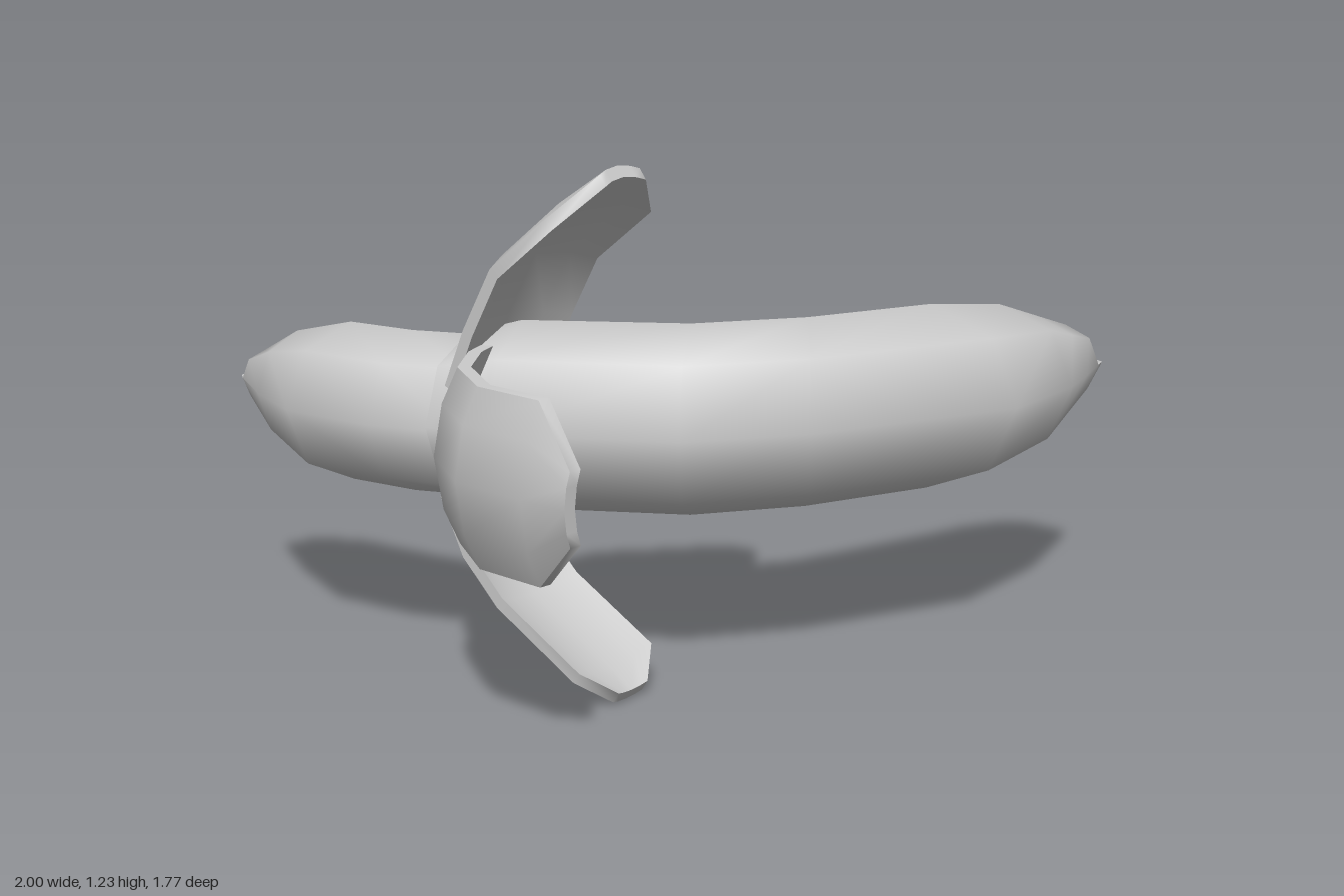
import * as THREE from 'three';
import { toCreasedNormals } from 'three/addons/utils/BufferGeometryUtils.js';

const material = new THREE.MeshStandardMaterial({ color: 0xcccccc, side: THREE.DoubleSide });

// Closed skin through equal-length rings of points, capped at both ends
function loft(name, rings) {
  const n = rings[0].length, pos = [];
  const tri = (a, b, c) => pos.push(...a, ...b, ...c);
  for (let i = 0; i < rings.length - 1; i++) {
    for (let j = 0; j < n; j++) {
      const k = (j + 1) % n, r = rings[i], s = rings[i + 1];
      tri(r[j], s[j], s[k]);
      tri(r[j], s[k], r[k]);
    }
  }
  // Caps are zipped across, which suits both ovals and thin strips
  const cap = (r, flip) => {
    for (let j = 0; j < n / 2 - 1; j++) {
      const q = [r[j], r[j + 1], r[n - 2 - j], r[n - 1 - j]];
      if (flip) q.reverse();
      tri(q[0], q[1], q[2]);
      tri(q[0], q[2], q[3]);
    }
  };
  cap(rings[0], false);
  cap(rings[rings.length - 1], true);

  // Turn the faces outward if the enclosed volume comes out negative
  let volume = 0;
  const a = new THREE.Vector3(), b = new THREE.Vector3(), c = new THREE.Vector3();
  for (let i = 0; i < pos.length; i += 9) {
    volume += a.fromArray(pos, i).dot(b.fromArray(pos, i + 3).cross(c.fromArray(pos, i + 6)));
  }
  if (volume < 0) {
    for (let i = 0; i < pos.length; i += 9) {
      for (let k = 0; k < 3; k++) [pos[i + 3 + k], pos[i + 6 + k]] = [pos[i + 6 + k], pos[i + 3 + k]];
    }
  }
  const geometry = new THREE.BufferGeometry();
  geometry.setAttribute('position', new THREE.Float32BufferAttribute(pos, 3));
  const mesh = new THREE.Mesh(toCreasedNormals(geometry, 1.0), material);
  mesh.name = name;
  return mesh;
}

// Eight-sided body; each section is [outer x, outer z, inner x, inner z, half height]
function body(name, y, sections) {
  return loft(name, sections.map(([ox, oz, ix, iz, h]) =>
    Array.from({ length: 8 }, (_, j) => {
      const t = (j / 8) * Math.PI * 2, c = Math.cos(t) / 2;
      return [(ox + ix) / 2 + (ox - ix) * c, y + h * Math.sin(t), (oz + iz) / 2 + (oz - iz) * c];
    })));
}

// Curved strip along a planar path; place(u, v, w) maps path and width to space
function peel(name, path, { half, sag, thickness = 0.03, side, place }) {
  const columns = [-1, -0.6, 0, 0.6, 1];
  const last = path.length - 1;
  return loft(name, path.map(([u, v], i) => {
    const p = path[Math.max(i - 1, 0)], q = path[Math.min(i + 1, last)];
    const du = q[0] - p[0], dv = q[1] - p[1], len = Math.hypot(du, dv);
    const nu = (side * dv) / len, nv = (-side * du) / len;
    const width = half * (i === last ? 0.4 : 1);
    const bend = i === last ? sag * 0.3 : sag;
    const at = (t, depth) => {
      const d = bend * t * t + depth;
      return place(u + nu * d, v + nv * d, width * t);
    };
    return [...columns.map(t => at(t, 0)), ...columns.map(t => at(-t, thickness))];
  }));
}

export function createModel() {
  const group = new THREE.Group();
  group.name = 'peeledBanana';

  // Exposed fruit, ending in a blunt ridge
  group.add(body('fruit', 0.615, [
    [-0.64, -0.1, -0.27, -0.16, 0.19],
    [-0.61, 0.05, -0.2, -0.06, 0.228],
    [-0.4, 0.45, -0.01, 0.23, 0.23],
    [-0.15, 0.64, 0.2, 0.38, 0.23],
    [0.37, 0.885, 0.33, 0.42, 0.23],
    [0.66, 0.88, 0.57, 0.5, 0.195],
    [0.81, 0.845, 0.78, 0.545, 0.14],
    [0.94, 0.81, 0.93, 0.617, 0.095],
    [0.98, 0.8, 1.0, 0.65, 0.005],
  ]));

  // Unpeeled skin tapering to the rear tip
  group.add(body('unpeeledSkin', 0.605, [
    [-0.61, -0.03, -0.25, -0.12, 0.197],
    [-0.675, -0.25, -0.325, -0.28, 0.197],
    [-0.685, -0.51, -0.345, -0.4, 0.197],
    [-0.6, -0.7, -0.345, -0.67, 0.14],
    [-0.5, -0.86, -0.38, -0.82, 0.065],
    [-0.475, -0.89, -0.39, -0.845, 0.005],
  ]));

  // Four peel strips folding forward from the rim of the skin
  group.add(peel('rightPeel',
    [[-0.6, -0.03], [-0.68, 0], [-0.83, 0.1], [-0.96, 0.28], [-0.985, 0.48], [-1, 0.61]],
    { half: 0.2, sag: 0.055, side: 1, place: (u, v, w) => [u, 0.615 + w, v] }));

  group.add(peel('leftPeel',
    [[-0.28, -0.12], [-0.18, -0.15], [-0.05, -0.12], [0.1, 0], [0.24, 0.125], [0.285, 0.2]],
    { half: 0.135, sag: 0.045, side: -1, place: (u, v, w) => [u, 0.575 + w, v] }));

  group.add(peel('topPeel',
    [[-0.12, 0.73], [-0.06, 0.87], [0.03, 1.03], [0.2, 1.165], [0.29, 1.23]],
    { half: 0.18, sag: 0.05, side: 1, place: (u, v, w) => [-0.42 + w, v, u] }));

  group.add(peel('bottomPeel',
    [[-0.12, 0.43], [-0.05, 0.29], [0.06, 0.18], [0.29, 0.045], [0.35, 0.005]],
    { half: 0.135, sag: 0.03, side: -1, place: (u, v, w) => [-0.465 + w, v, u] }));

  return group;
}
